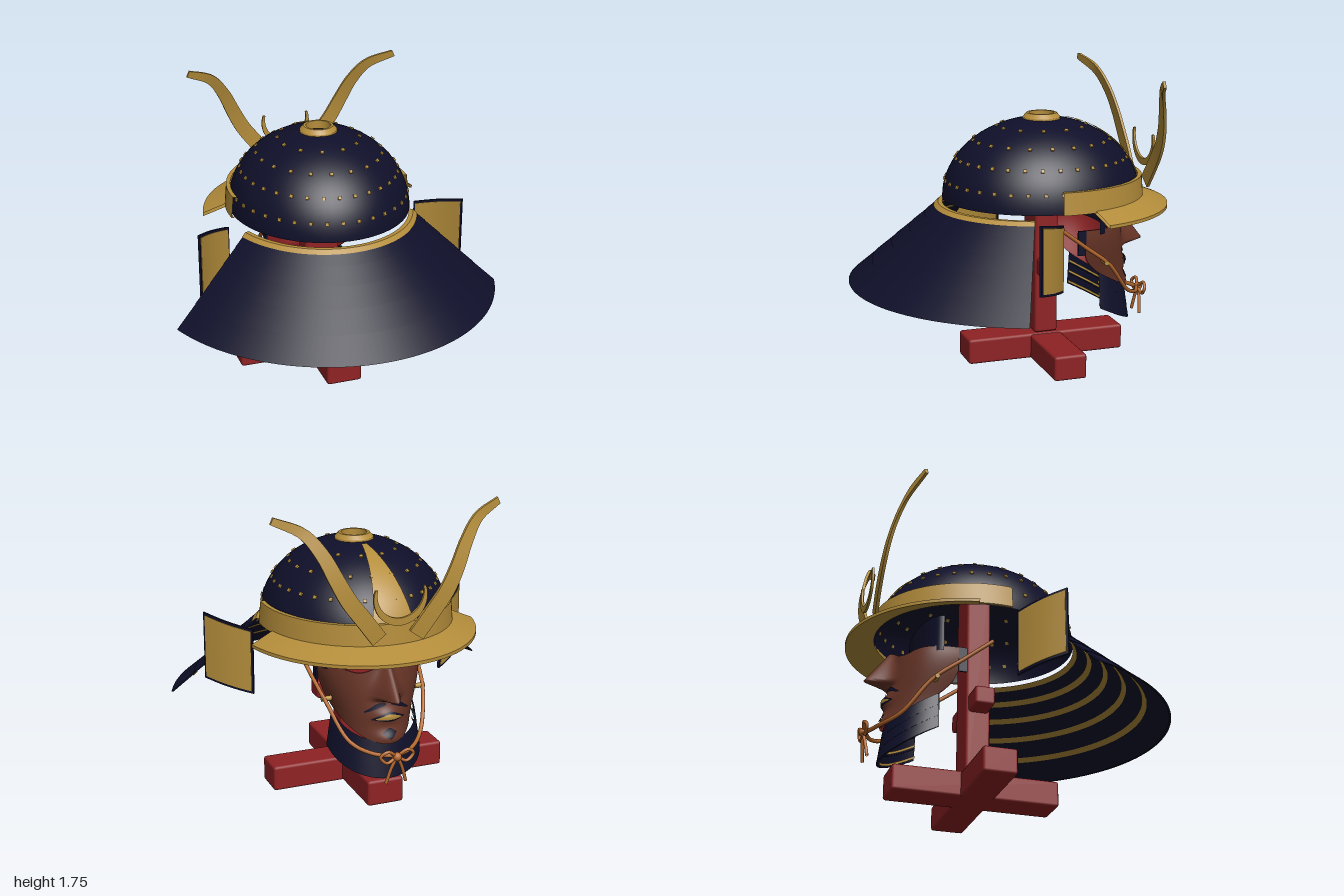
import * as THREE from 'three';
import { toCreasedNormals } from 'three/addons/utils/BufferGeometryUtils.js';
import { RoundedBoxGeometry } from 'three/addons/geometries/RoundedBoxGeometry.js';
import { ParametricGeometry } from 'three/addons/geometries/ParametricGeometry.js';

const CZ = -0.2; // z of the helmet axis
const PI = Math.PI;
const lerp = THREE.MathUtils.lerp;
const bell = (x, w) => Math.exp(-((x / w) ** 2));

function material(name, color) {
  const m = new THREE.MeshStandardMaterial({ color, side: THREE.DoubleSide });
  m.name = name;
  return m;
}

export function createModel() {
  const root = new THREE.Group();
  root.name = 'displayedHelmet';
  const navy = material('navyLacquer', 0x0f0f2a);
  const gold = material('gold', 0xb48d3b);
  const red = material('redLacquer', 0x8f2224);
  const brown = material('brownLeather', 0x693527);
  const orange = material('orangeCord', 0xb5682c);

  function add(name, geo, mat, parent = root) {
    const m = new THREE.Mesh(geo, mat);
    m.name = name;
    parent.add(m);
    return m;
  }
  const surface = (fn, nu, nv) => new ParametricGeometry(fn, nu, nv);

  // Sweeps profile rows [rx, rz, y] around an ellipse; drop lowers the y by angle
  function band(name, rows, a0, a1, mat, cz = CZ, drop = () => 0, n = 64) {
    const last = rows.length - 1;
    const geo = surface((u, v, p) => {
      const i = Math.min(Math.floor(v * last + 1e-6), Math.max(last - 1, 0));
      const f = v * last - i, A = rows[i], B = rows[i + 1], a = lerp(a0, a1, u);
      p.set(lerp(A[0], B[0], f) * Math.sin(a), lerp(A[2], B[2], f) - drop(a),
        cz + lerp(A[1], B[1], f) * Math.cos(a));
    }, n, last);
    return add(name, toCreasedNormals(geo, 0.6), mat);
  }

  // Stand: crossed feet, post and crossbar
  const bar = (name, w, h, d, x, y, z) =>
    add(name, new RoundedBoxGeometry(w, h, d, 1, 0.016), red).position.set(x, y, z);
  bar('footAcross', 1.08, 0.15, 0.2, 0, 0.075, CZ);
  bar('footAlong', 0.22, 0.154, 0.99, 0, 0.079, CZ - 0.005);
  bar('post', 0.215, 1.16, 0.145, 0, 0.74, CZ);
  bar('crossbar', 0.5, 0.11, 0.12, 0, 0.58, CZ);

  // Helmet bowl
  const bowl = (t, a, k, p) => p.set(0.545 * k * Math.cos(t) * Math.sin(a),
    1 + 0.475 * k * Math.sin(t), CZ + 0.6 * k * Math.cos(t) * Math.cos(a));
  add('bowl', surface((u, v, p) => bowl(v * 1.42, u * 2 * PI, 1, p), 64, 20), navy);

  // Crown ring round the vent hole
  const ring = new THREE.LatheGeometry([[0.115, 1.45], [0.112, 1.475], [0.09, 1.5],
    [0.075, 1.5], [0.075, 1.45]].map(q => new THREE.Vector2(...q)), 32);
  add('crownRing', toCreasedNormals(ring, 0.5), gold).position.z = CZ;

  // Rivets in rows around the bowl
  const rivets = new THREE.Group();
  rivets.name = 'rivets';
  root.add(rivets);
  const rivetGeo = new THREE.BoxGeometry(0.02, 0.02, 0.012);
  for (const [y, count] of [[1.11, 36], [1.24, 32], [1.345, 20], [1.425, 12]]) {
    for (let i = 0; i < count; i++) {
      const t = Math.asin((y - 1) / 0.475), a = (i + 0.5) / count * 2 * PI;
      const r = add('rivet', rivetGeo, gold, rivets);
      bowl(t, a, 1.003, r.position);
      const q = r.position;
      r.lookAt(q.x + q.x / 0.297, q.y + (q.y - 1) / 0.226, q.z + (q.z - CZ) / 0.36);
    }
  }

  // Tapered plate down the front of the bowl
  add('frontPlate', surface((u, v, p) => {
    const t = lerp(1.32, 0.12, v), x = (u - 0.5) * 2 * lerp(0.015, 0.135, v);
    bowl(t, PI - Math.asin(x / (0.545 * Math.cos(t))), 1.014, p);
  }, 8, 20), gold);

  // Brow band and visor
  band('browBand', [[0.55, 0.605, 1], [0.567, 0.62, 1], [0.555, 0.61, 1.13], [0.53, 0.585, 1.13]],
    PI / 2 - 0.1, PI * 1.5 + 0.1, gold);
  band('visor', [[0.54, 0.6, 1.02], [0.70, 0.77, 0.955], [0.70, 0.77, 0.935], [0.54, 0.6, 1.0], [0.54, 0.6, 1.02]],
    PI - 1.35, PI + 1.35, gold);

  // Neck guard: five overlapping lames with gold lacing inside
  const levels = [0.965, 0.9, 0.82, 0.73, 0.63, 0.51];
  const A0 = -PI / 2 + 0.365, A1 = PI / 2 - 0.365;
  const at = (y, off = 0) => {
    const f = (0.965 - y) / 0.455;
    return [lerp(0.57, 1.075, f) + off, lerp(0.63, 1.17, f) + off, y];
  };
  for (let i = 0; i < 5; i++) {
    const [top, low] = [levels[i], levels[i + 1]];
    band('neckLame', [at(top, -0.014), at(top, -0.004), at(low), at(low, -0.012), at(top, -0.014)], A0, A1, navy);
    if (i) band('neckLacing', [at(top + 0.004, -0.02), at(top - 0.02, -0.02)], A0, A1, gold);
  }
  band('neckRim', [at(0.95, 0.004), at(0.972, 0.004), at(0.972, -0.022), at(0.95, -0.022)], A0, A1, gold);

  // Turned-back side wings: dark plate with a gold field on both faces
  function wing(name, s, inset, thick, mat) {
    const g = new THREE.BoxGeometry(1, 1, 1, 8, 1, 1), p = g.attributes.position;
    for (let i = 0; i < p.count; i++) {
      const u = p.getX(i) * inset + 0.5, v = p.getY(i) * inset + 0.5;
      const n = p.getZ(i) * thick + 0.018 * Math.sin(PI * u);
      p.setXYZ(i, s * (lerp(0.595, 0.825, u) + n * 0.66),
        lerp(lerp(0.56, 0.62, u), lerp(0.955, 1.025, u), v), lerp(-0.12, 0.095, u) - n * 0.75);
    }
    add(name, toCreasedNormals(g, 0.6), mat);
  }

  // Horn: flat curved blade lofted along a curve
  const hornPath = new THREE.CatmullRomCurve3([[0.11, 1.06, -0.835], [0.2, 1.18, -0.84], [0.29, 1.3, -0.838],
    [0.355, 1.42, -0.825], [0.42, 1.55, -0.795], [0.51, 1.665, -0.75], [0.665, 1.735, -0.69]]
    .map(q => new THREE.Vector3(...q)));
  function horn(s) {
    const N = 30;
    const g = surface((u, v, p) => {
      const k = Math.round(v * N), t = THREE.MathUtils.clamp((k - 1) / (N - 2), 0, 1);
      const cap = k === 0 || k === N ? 0 : 1;
      const c = hornPath.getPoint(t), d = hornPath.getTangent(t);
      const l = Math.hypot(d.x, d.y), j = Math.round(u * 4) % 4;
      const w = cap * (j === 0 || j === 3 ? -1 : 1) * lerp(0.048, 0.02, t ** 2.5);
      const h = cap * (j < 2 ? -1 : 1) * 0.009;
      p.set(s * (c.x - d.y / l * w), c.y + d.x / l * w, c.z + h);
    }, 4, N);
    add('horn', toCreasedNormals(g, 0.7), gold);
  }

  // Chin cord half, with a gold peg on the cheek
  const tube = (name, pts, r) => add(name, new THREE.TubeGeometry(
    new THREE.CatmullRomCurve3(pts.map(q => new THREE.Vector3(...q))), 32, r, 8), orange);
  for (const s of [1, -1]) {
    wing('sideWing', s, 1, 0.014, navy);
    wing('sideWingField', s, 0.93, 0.02, gold);
    horn(s);
    tube('chinCord', [[s * 0.36, 0.87, -0.19], [s * 0.335, 0.74, -0.36], [s * 0.3, 0.61, -0.53],
      [s * 0.22, 0.42, -0.68], [s * 0.12, 0.37, -0.78], [0, 0.36, -0.84]], 0.012);
    tube('bowLoop', [[0, 0.36, -0.845], [s * 0.06, 0.4, -0.86], [s * 0.1, 0.37, -0.85],
      [s * 0.06, 0.33, -0.85], [0, 0.36, -0.845]], 0.01);
    tube('bowTail', [[0, 0.36, -0.85], [s * 0.03, 0.3, -0.845], [s * 0.06, 0.2, -0.835]], 0.01);
    const peg = add('cheekPeg', new THREE.CylinderGeometry(0.015, 0.015, 0.06, 10), gold);
    peg.rotation.z = PI / 2;
    peg.position.set(s * 0.29, 0.625, -0.505);
  }
  add('cordKnot', new THREE.SphereGeometry(0.026, 12, 8), orange).position.set(0, 0.36, -0.85);

  // Crescent crest
  const crest = new THREE.Shape();
  crest.absarc(0, 1.295, 0.157, PI * 0.89, PI * 2.11, false);
  crest.absarc(0, 1.318, 0.137, PI * 2.07, PI * 0.93, true);
  add('crescentCrest', new THREE.ExtrudeGeometry(crest, { depth: 0.014, bevelEnabled: false, curveSegments: 32 }),
    gold).position.z = -0.872;

  // Face mask: half shell shaped by rule, with nose and lips
  const width = y => 0.22 + 0.08 * THREE.MathUtils.smoothstep(y, 0.4, 0.8);
  function face(a, y, off, p) {
    const x = width(y) * Math.sin(a);
    const nose = y > 0.68 ? 0.03 + 0.125 * (0.87 - y) / 0.19
      : 0.155 * THREE.MathUtils.smoothstep(y, 0.64, 0.68);
    const lips = 0.022 * bell(y - 0.56, 0.04) * bell(x, 0.08) + 0.02 * bell(y - 0.43, 0.04) * bell(x, 0.08);
    const depth = lerp(0.37, 0.32, (y - 0.42) / 0.41) + off;
    p.set(x + off * Math.sin(a), y, -0.37 - depth * Math.max(Math.cos(a), 0) ** 0.85
      - nose * bell(x, 0.02 + 0.035 * THREE.MathUtils.smoothstep(0.9 - y, 0, 0.2)) - lips);
  }
  const shell = off => surface((u, v, p) => {
    const a = (u - 0.5) * PI, c = Math.max(Math.cos(a), 0);
    const top = 0.83 + 0.04 * bell(a, 0.2) - 0.02 * bell(Math.abs(a) - 0.55, 0.25);
    face(a, lerp(top, 0.7 - 0.3 * Math.sqrt(c), v), off, p);
  }, 64, 44);
  add('faceMask', shell(0), brown);
  add('faceMaskLining', shell(-0.01), red);

  // Painted strips lying on the mask: points [x, y, half height]
  function paint(name, pts, mat, off = 0.006) {
    const c = new THREE.CatmullRomCurve3(pts.map(q => new THREE.Vector3(...q)));
    add(name, surface((u, v, p) => {
      const q = c.getPoint(u), y = q.y + (v - 0.5) * 2 * q.z;
      face(Math.asin(q.x / width(y)), y, off, p);
    }, 20, 4), mat);
  }
  for (const s of [1, -1])
    paint('moustache', [[s * 0.015, 0.63, 0.006], [s * 0.06, 0.622, 0.014], [s * 0.13, 0.585, 0.004]], navy);
  paint('mouthEdge', [[-0.095, 0.545, 0.004], [0, 0.56, 0.028], [0.095, 0.545, 0.004]], navy);
  paint('teeth', [[-0.075, 0.548, 0.003], [0, 0.56, 0.016], [0.075, 0.548, 0.003]], gold, 0.01);
  paint('chinTuft', [[-0.04, 0.465, 0.004], [0, 0.46, 0.03], [0.04, 0.465, 0.004]], navy);

  // Forehead liner behind the visor
  band('foreheadLiner', [[0.3, 0.11, 1.02], [0.3, 0.11, 0.8]], PI / 2, PI * 1.5, navy, -0.465);
  // Padded ear edges of the mask
  for (const s of [1, -1])
    add('maskEarEdge', new THREE.BoxGeometry(0.012, 0.15, 0.05), navy).position.set(s * 0.298, 0.755, -0.352);

  // Throat guard: three lames hanging from the mask, laced inside
  const dip = a => 0.14 * Math.abs(Math.cos(a));
  for (let i = 0; i < 3; i++) {
    const y = 0.55 - i * 0.07, r = 0.25 + i * 0.01;
    band('throatLame', [[r, r, y], [r + 0.012, r + 0.012, y - 0.075], [r, r, y - 0.075]],
      PI / 2, PI * 1.5, navy, -0.48, dip, 40);
    band('throatLacing', [[r - 0.006, r - 0.006, y - 0.05], [r - 0.006, r - 0.006, y - 0.066]],
      PI / 2, PI * 1.5, gold, -0.48, dip, 40);
  }
  return root;
}
